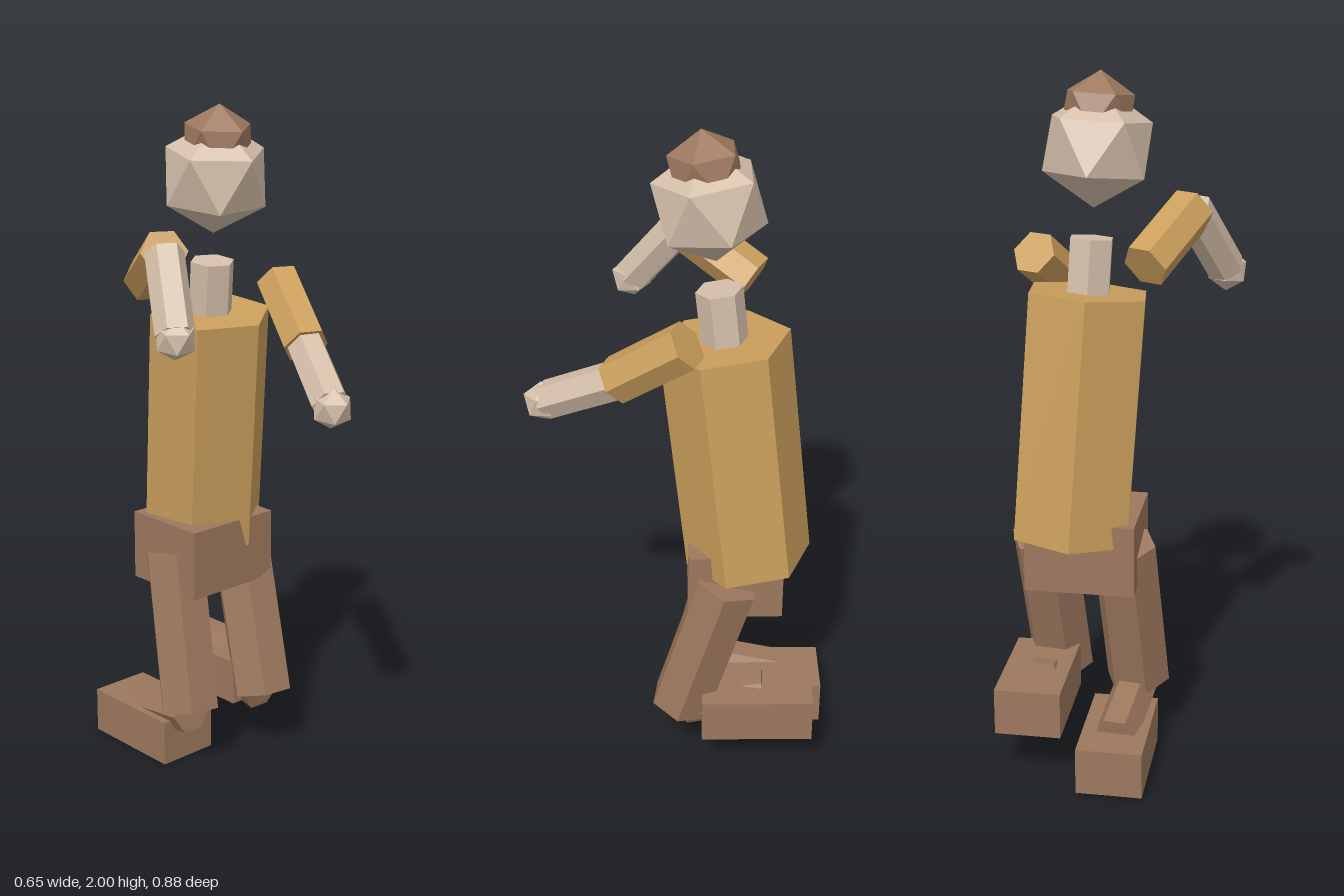
import * as THREE from 'three';

const flat = (name, hex) => {
  const m = new THREE.MeshStandardMaterial({ color: hex, flatShading: true });
  m.name = name;
  return m;
};

export function createModel() {
  const model = new THREE.Group();
  model.name = 'figure';
  const shirt = flat('shirt gold', 0xcb9f5c);
  const skin = flat('skin', 0xd5bfaa);
  const brown = flat('brown', 0x9d785e);
  const V = (a) => new THREE.Vector3(...a);

  const add = (name, geometry, material) => {
    const mesh = new THREE.Mesh(geometry, material);
    mesh.name = name;
    model.add(mesh);
    return mesh;
  };

  // six-sided prism from a to b; one corner points towards ref
  const prism = (name, material, a, b, radius, ref) => {
    const from = V(a), to = V(b);
    const axis = to.clone().sub(from);
    const geo = new THREE.CylinderGeometry(radius, radius, axis.length(), 6);
    const y = axis.normalize();
    const side = ref ? V(ref) : y.clone().cross(V([0, 1, 0]));
    const x = y.clone().cross(side).normalize();
    const z = x.clone().cross(y);
    const mesh = add(name, geo, material);
    mesh.quaternion.setFromRotationMatrix(new THREE.Matrix4().makeBasis(x, y, z));
    mesh.position.copy(from.add(to).multiplyScalar(0.5));
  };

  // faceted ball standing on a corner, leaning with the body
  const lean = new THREE.Quaternion().setFromUnitVectors(
    V([0, 1, 0]), V([-0.055, 1, 0.12]).normalize());
  const ball = (name, material, at, radius) => {
    const geo = new THREE.IcosahedronGeometry(radius, 0);
    geo.rotateX(-Math.atan((1 + Math.sqrt(5)) / 2));
    const mesh = add(name, geo, material);
    mesh.quaternion.copy(lean);
    mesh.position.set(...at);
  };

  const box = (name, size, at) =>
    add(name, new THREE.BoxGeometry(...size), brown).position.set(...at);

  // head and body
  const bodyRef = [0.12, 0, 0.99];
  ball('head', skin, [0.07, 1.795, -0.075], 0.165);
  ball('hair', brown, [0.07, 1.89, -0.065], 0.11);
  prism('neck', skin, [0.092, 1.36, -0.124], [0.083, 1.55, -0.103], 0.066, bodyRef);
  prism('torso', shirt, [0.129, 0.7, -0.198], [0.09, 1.4, -0.12], 0.184, bodyRef);
  box('pelvis', [0.315, 0.21, 0.275], [0.0925, 0.665, -0.157]);

  // arms: shoulder, elbow, hand
  const arms = {
    left: [[0.265, 1.48, -0.015], [0.188, 1.33, 0.178], [0.085, 1.205, 0.383]],
    right: [[-0.08, 1.5, -0.205], [-0.183, 1.618, -0.005], [-0.27, 1.412, 0.14]],
  };
  for (const [side, [shoulder, elbow, hand]] of Object.entries(arms)) {
    const wrist = V(elbow).lerp(V(hand), 0.96).toArray();
    prism(side + 'UpperArm', shirt, elbow, shoulder, 0.068);
    prism(side + 'Forearm', skin, wrist, elbow, 0.056);
    ball(side + 'Hand', skin, hand, 0.06);
  }

  // legs: hip, knee, shin front, shin back, foot centre
  const legs = {
    left: [[0.225, 0.672, -0.135], [0.2, 0.193, 0],
      [0.203, 0.187, -0.005], [0.215, 0.245, -0.255], [0.229, 0.215, -0.227]],
    right: [[-0.015, 0.665, -0.165], [-0.045, 0.19, -0.065],
      [-0.04, 0.17, -0.065], [-0.017, 0.125, -0.33], [-0.015, 0.07, -0.275]],
  };
  for (const [side, [hip, knee, front, back, foot]] of Object.entries(legs)) {
    prism(side + 'Thigh', brown, knee, hip, 0.096, [0.37, 0, 0.93]);
    prism(side + 'Shin', brown, back, front, 0.065);
    box(side + 'Foot', [0.192, 0.14, 0.332], foot);
  }

  return model;
}
